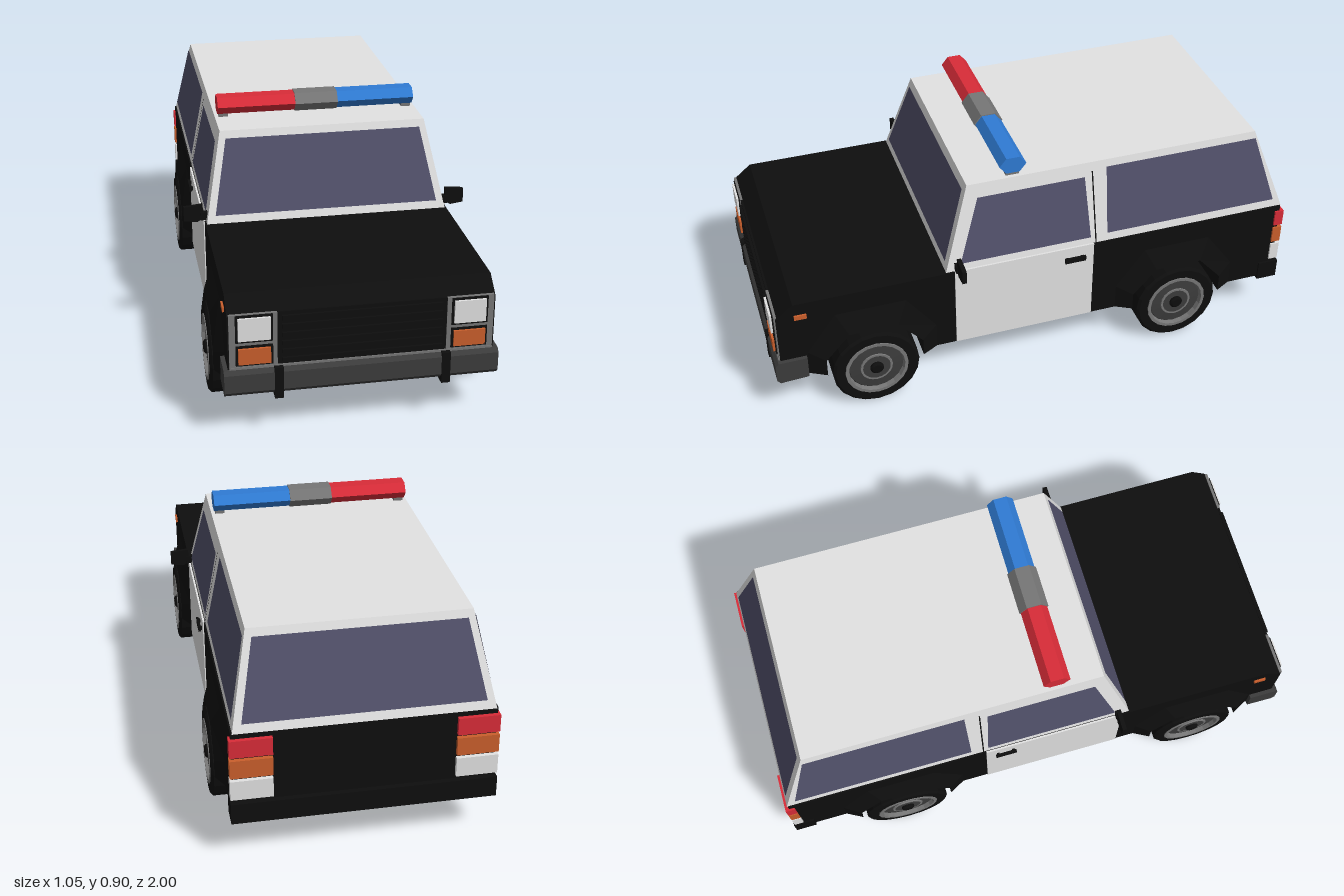
import * as THREE from 'three';

const paint = (name, color, extra = {}) =>
  Object.assign(new THREE.MeshStandardMaterial({ color, flatShading: true, ...extra }), { name });

export function createModel() {
  const car = new THREE.Group();
  car.name = 'patrolCar';
  const black = paint('black', 0x0e0e0e, { side: THREE.DoubleSide });
  const white = paint('white', 0xe2e2e2);
  const glass = paint('tintedGlass', 0x51506a, { side: THREE.DoubleSide });
  const darkGray = paint('darkGray', 0x3c3c3c);
  const gray = paint('gray', 0x767676);
  const red = paint('red', 0xd92c38);
  const blue = paint('blue', 0x2f7bd4);
  const orange = paint('orange', 0xcb5f2c);

  const add = (name, geo, mat, parent = car) => {
    const m = new THREE.Mesh(geo, mat);
    m.name = name;
    parent.add(m);
    return m;
  };
  // Box given by its ranges on each axis
  const box = (name, mat, x0, x1, y0, y1, z0, z1) => {
    const g = new THREE.BoxGeometry(Math.abs(x1 - x0), y1 - y0, Math.abs(z1 - z0));
    g.translate((x0 + x1) / 2, (y0 + y1) / 2, (z0 + z1) / 2);
    return add(name, g, mat);
  };
  // Faces from a list of quads, each with four [x, y, z] corners
  const quads = (name, mat, list) => {
    const pos = list.flatMap(([a, b, c, d]) => [a, b, c, a, c, d].flat());
    const g = new THREE.BufferGeometry();
    g.setAttribute('position', new THREE.Float32BufferAttribute(pos, 3));
    g.computeVertexNormals();
    return add(name, g, mat);
  };
  // Side outline in (z, y), extruded across the car
  const sideExtrude = (points, width) => {
    const shape = new THREE.Shape(points.map(([z, y]) => new THREE.Vector2(z, y)));
    const g = new THREE.ExtrudeGeometry(shape, { depth: width, bevelEnabled: false });
    return g.rotateY(-Math.PI / 2).translate(width / 2, 0, 0);
  };

  // Lower body with open wheel arches
  const wheelZ = [-0.555, 0.635];
  const arch = [[-0.18, 0.17], [-0.18, 0.24], [-0.09, 0.34], [0.09, 0.34], [0.18, 0.24], [0.18, 0.17]];
  const rim = [[-0.24, 0.17], [-0.24, 0.27], [-0.13, 0.42], [0.13, 0.42], [0.24, 0.27], [0.24, 0.17]];
  const outline = [[-0.98, 0.17]];
  wheelZ.forEach(c => arch.forEach(([z, y]) => outline.push([c + z, y])));
  outline.push([0.975, 0.17], [0.975, 0.45], [0.91, 0.503], [-0.98, 0.503]);
  add('lowerBody', sideExtrude(outline, 0.9), black);

  // Cabin: a box tapered toward the roof
  const cx = y => 0.445 - (y - 0.5) * 0.203;
  const zf = y => 0.352 - (y - 0.5) * 0.315;
  const zr = y => -0.985 + (y - 0.5) * 0.36;
  const cabin = new THREE.BoxGeometry(2, 0.322, 2).translate(0, 0.662, 0);
  const p = cabin.attributes.position;
  for (let i = 0; i < p.count; i++) {
    const y = p.getY(i);
    p.setXYZ(i, Math.sign(p.getX(i)) * cx(y), y, p.getZ(i) > 0 ? zf(y) : zr(y));
  }
  cabin.computeVertexNormals();
  add('cabin', cabin, white);

  // Windscreen and rear window
  const e = 0.004;
  quads('windscreen', glass, [[[-0.412, 0.532, zf(0.532) + e], [0.412, 0.532, zf(0.532) + e],
    [0.36, 0.797, zf(0.797) + e], [-0.36, 0.797, zf(0.797) + e]]]);
  quads('rearWindow', glass, [[[0.412, 0.532, zr(0.532) - e], [-0.412, 0.532, zr(0.532) - e],
    [-0.36, 0.797, zr(0.797) - e], [0.36, 0.797, zr(0.797) - e]]]);

  for (const s of [1, -1]) {
    const side = s > 0 ? 'left' : 'right';
    const pane = (name, mat, off, pts) => {
      const c = pts.map(([z, y]) => [s * (cx(y) + off), y, z]);
      quads(side + name, mat, [s > 0 ? c : c.reverse()]);
    };
    // Side glass and door seams
    pane('DoorWindow', glass, e, [[0.295, 0.53], [-0.205, 0.53], [-0.19, 0.772], [0.215, 0.772]]);
    pane('QuarterWindow', glass, e, [[-0.27, 0.535], [-0.948, 0.535], [-0.87, 0.797], [-0.275, 0.797]]);
    pane('DoorSeam', black, e, [[-0.222, 0.503], [-0.227, 0.503], [-0.222, 0.79], [-0.217, 0.79]]);

    // Door panel, handle and mirror
    box(side + 'Door', white, s * 0.447, s * 0.454, 0.172, 0.506, -0.215, 0.32);
    box(side + 'HandleGrip', black, s * 0.459, s * 0.468, 0.447, 0.467, -0.18, -0.1);
    for (const z of [-0.175, -0.115])
      box(side + 'HandleMount', black, s * 0.45, s * 0.462, 0.45, 0.464, z, z + 0.01);
    box(side + 'MirrorArm', black, s * 0.43, s * 0.465, 0.505, 0.535, 0.295, 0.318);
    const mirror = new THREE.Shape([[0.455, 0.515], [0.475, 0.498], [0.525, 0.505], [0.525, 0.558], [0.455, 0.565]]
      .map(([x, y]) => new THREE.Vector2(s * x, y)));
    add(side + 'Mirror', new THREE.ExtrudeGeometry(mirror, { depth: 0.016, bevelEnabled: false })
      .translate(0, 0, 0.297), black);

    // Flared arches
    wheelZ.forEach(c => {
      const list = [];
      for (let i = 0; i < arch.length - 1; i++) {
        const pt = (a, j, x) => [s * x, a[j][1], c + a[j][0]];
        list.push([pt(rim, i, 0.45), pt(rim, i + 1, 0.45), pt(arch, i + 1, 0.482), pt(arch, i, 0.482)]);
        list.push([pt(arch, i, 0.482), pt(arch, i + 1, 0.482), pt(arch, i + 1, 0.44), pt(arch, i, 0.44)]);
      }
      quads(side + 'ArchFlare', black, list);
    });

    // Headlamp cluster and side marker
    box(side + 'LampHousing', gray, s * 0.285, s * 0.445, 0.262, 0.458, 0.97, 0.98);
    box(side + 'HeadlampSurround', black, s * 0.3, s * 0.424, 0.357, 0.456, 0.975, 0.984);
    box(side + 'Headlamp', white, s * 0.308, s * 0.416, 0.366, 0.448, 0.975, 0.992);
    box(side + 'IndicatorSurround', black, s * 0.3, s * 0.424, 0.272, 0.345, 0.975, 0.984);
    box(side + 'Indicator', orange, s * 0.308, s * 0.416, 0.28, 0.337, 0.975, 0.992);
    box(side + 'SideMarker', orange, s * 0.447, s * 0.457, 0.437, 0.455, 0.865, 0.91);

    // Tail lamps
    [[red, 0.415, 0.48], [orange, 0.335, 0.403], [white, 0.25, 0.323]].forEach(([m, y0, y1]) =>
      box(side + 'TailLamp', m, s * 0.312, s * 0.457, y0, y1, -0.995, -0.96));

    // Bumper guard and light bar foot
    box(side + 'BumperGuard', black, s * 0.268, s * 0.298, 0.148, 0.262, 0.91, 1);
    box(side + 'LightBarFoot', gray, s * 0.33, s * 0.365, 0.818, 0.842, 0.05, 0.1);

    // Wheels
    wheelZ.forEach(z => {
      const wheel = new THREE.Group();
      wheel.name = side + (z > 0 ? 'FrontWheel' : 'RearWheel');
      wheel.position.set(s * 0.43, 0.162, z);
      if (s < 0) wheel.rotation.y = Math.PI;
      car.add(wheel);
      const lathe = (name, mat, pts) => add(name, new THREE.LatheGeometry(
        pts.map(([r, x]) => new THREE.Vector2(r, x)), 20).rotateZ(-Math.PI / 2), mat, wheel);
      lathe('tyre', black, [[0, -0.06], [0.162, -0.06], [0.162, 0.052], [0.152, 0.06], [0.115, 0.06], [0.105, 0.04], [0, 0.04]]);
      lathe('rimRing', gray, [[0.12, 0.055], [0.118, 0.063], [0.106, 0.063], [0.102, 0.042]]);
      lathe('rimDisc', darkGray, [[0.106, 0.042], [0.1, 0.048], [0.06, 0.052], [0, 0.052]]);
      lathe('hubRing', gray, [[0.062, 0.048], [0.06, 0.056], [0.052, 0.056]]);
      lathe('hubPlate', darkGray, [[0.054, 0.055], [0, 0.055]]);
      lathe('hubCap', black, [[0.025, 0.05], [0.025, 0.062], [0.018, 0.068], [0, 0.068]]);
    });
  }

  // Grille with slats
  box('grille', black, -0.285, 0.285, 0.262, 0.458, 0.97, 0.978);
  for (let i = 0; i < 6; i++) {
    const y = 0.275 + i * 0.031;
    box('grilleSlat', black, -0.27, 0.27, y, y + 0.016, 0.975, 0.988);
  }
  box('grilleSill', gray, -0.445, 0.445, 0.256, 0.266, 0.968, 0.982);

  // Bumpers, the front one with chamfered edges
  add('frontBumper', sideExtrude([[0.88, 0.17], [0.985, 0.165], [0.997, 0.18], [0.997, 0.245],
    [0.985, 0.258], [0.88, 0.258]], 0.93), darkGray);
  box('rearBumper', black, -0.457, 0.457, 0.158, 0.235, -1, -0.92);

  // Hexagonal light bar
  const bar = (name, mat, x0, x1, r) => add(name, new THREE.CylinderGeometry(r, r, x1 - x0, 6)
    .rotateZ(Math.PI / 2).rotateX(0)
    .scale(1, 0.72, 1).translate((x0 + x1) / 2, 0.866, 0.075), mat);
  bar('redLight', red, -0.37, -0.08, 0.05);
  bar('blueLight', blue, 0.08, 0.37, 0.05);
  bar('lightBarCentre', gray, -0.08, 0.08, 0.055);

  return car;
}
